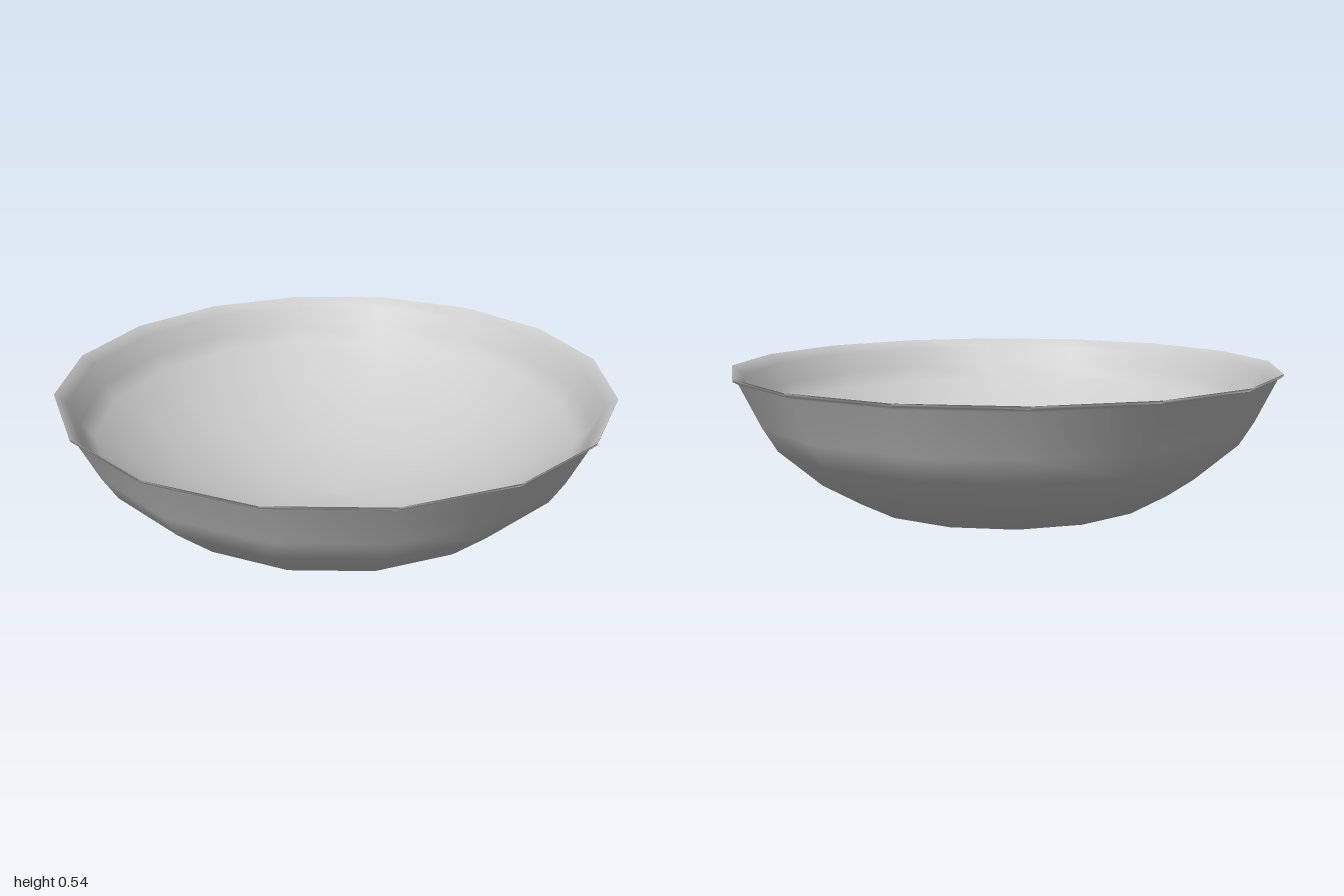
import * as THREE from 'three';

export function createModel() {
  const group = new THREE.Group();
  group.name = 'bowl';

  // Closed wall profile: outside from base to lip, then back down the inside
  const outside = [
    [0, 0], [0.18, 0.005], [0.57, 0.065], [0.71, 0.15],
    [0.86, 0.285], [0.91, 0.37], [0.98, 0.52],
  ];
  const lip = [[0.998, 0.53], [1, 0.54]];
  const inside = [
    [0.96, 0.505], [0.925, 0.425], [0.88, 0.37], [0.75, 0.275],
    [0.6, 0.185], [0.4, 0.105], [0.2, 0.06], [0, 0.045],
  ];
  const profile = [...outside, ...lip, ...inside].map(([r, y]) => new THREE.Vector2(r, y));

  // Sixteen smooth-shaded sides
  const shell = new THREE.Mesh(
    new THREE.LatheGeometry(profile, 16),
    new THREE.MeshStandardMaterial({ color: 0xcccccc }),
  );
  shell.name = 'bowlShell';
  group.add(shell);
  return group;
}
